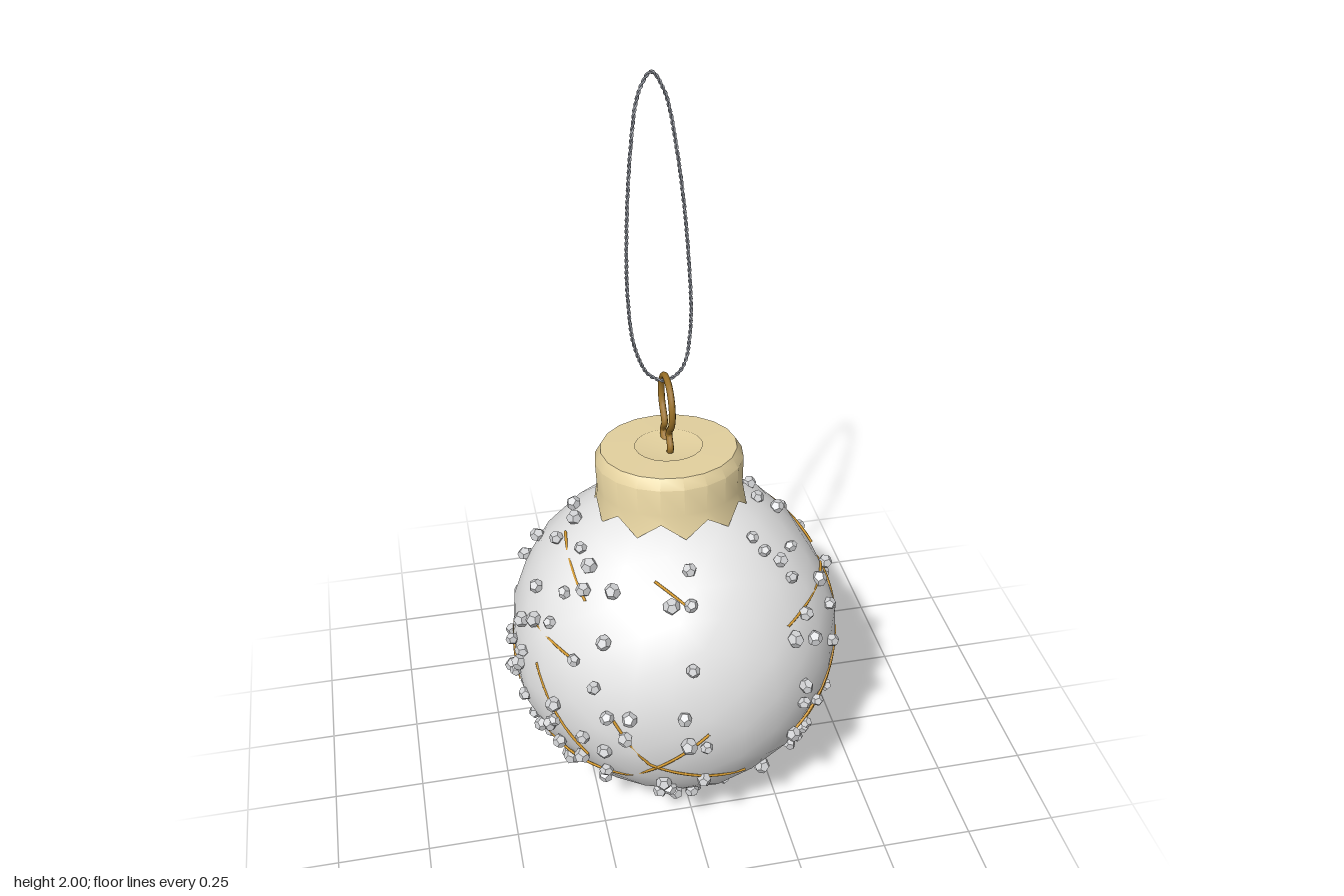
import * as THREE from 'three';
import { mergeGeometries, mergeVertices, toCreasedNormals } from 'three/addons/utils/BufferGeometryUtils.js';

const R = 0.456;
const CENTRE = new THREE.Vector3(0, 0.48, 0);

function seeded(seed) {
  return () => {
    seed = (seed * 16807) % 2147483647;
    return seed / 2147483647;
  };
}

function material(name, color, side = THREE.FrontSide) {
  const m = new THREE.MeshStandardMaterial({ color, side });
  m.name = name;
  return m;
}

// Point on the ball at offset u, v (hundredths) from a given azimuth and elevation (degrees)
function onBall(az, el, u, v) {
  const x = u / 100, y = v / 100;
  return new THREE.Vector3(x, y, Math.sqrt(Math.max(0, R * R - x * x - y * y)))
    .applyAxisAngle(new THREE.Vector3(1, 0, 0), -THREE.MathUtils.degToRad(el))
    .applyAxisAngle(new THREE.Vector3(0, 1, 0), THREE.MathUtils.degToRad(az))
    .setLength(R);
}

// Coarse, gently dented ball
function ballGeometry() {
  let g = new THREE.IcosahedronGeometry(R, 4);
  g.deleteAttribute('uv');
  g.deleteAttribute('normal');
  g = mergeVertices(g, 1e-4);
  const p = g.attributes.position, v = new THREE.Vector3();
  for (let i = 0; i < p.count; i++) {
    v.fromBufferAttribute(p, i);
    const n = Math.sin(v.x * 17 + v.y * 9) * Math.sin(v.y * 15 - v.z * 11 + 1) + Math.sin(v.z * 19 + v.x * 7 + 2) * 0.6;
    v.setLength(R + n * 0.0035);
    p.setXYZ(i, v.x, v.y, v.z);
  }
  g.computeVertexNormals();
  return g;
}

// Nuggets scattered over the ball, leaving bare patches and the cap clear
function nuggetGeometry() {
  const rand = seeded(77), placed = [], parts = [];
  const bare = [onBall(0, 0, 12, 12), onBall(0, 0, 10, 27), onBall(0, 0, 14, -4), onBall(90, 0, -5, -6),
    onBall(225, 25, -18, 6), onBall(225, 25, -4, 8), onBall(45, 25, -12, 14)];
  while (placed.length < 170) {
    const y = rand() * 1.86 - 1, a = rand() * Math.PI * 2, s = Math.sqrt(1 - y * y);
    const p = new THREE.Vector3(Math.cos(a) * s, y, Math.sin(a) * s).multiplyScalar(R + 0.007);
    if (bare.some((b) => b.distanceTo(p) < 0.14) || placed.some((q) => q.distanceTo(p) < 0.042)) continue;
    placed.push(p);
    const g = new THREE.DodecahedronGeometry(0.017 + rand() * 0.006);
    g.scale(1, 0.8 + rand() * 0.4, 1);
    g.rotateX(rand() * 6).rotateY(rand() * 6).translate(p.x, p.y, p.z);
    parts.push(g);
  }
  return mergeGeometries(parts);
}

// Seam as a thin arc half sunk in the ball between two points
function seamGeometry([az, el, u1, v1, u2, v2]) {
  const a = onBall(az, el, u1, v1), b = onBall(az, el, u2, v2), path = [];
  for (let i = 0; i <= 10; i++) path.push(a.clone().lerp(b, i / 10).setLength(R - 0.0015));
  return new THREE.TubeGeometry(new THREE.CatmullRomCurve3(path), 20, 0.004, 5);
}

// Crimped cap: lathe whose lowest ring is pulled into teeth
function capGeometry() {
  const profile = [[0.2, 0.4], [0.196, 0.47], [0.199, 0.545], [0.182, 0.573], [0.09, 0.575]]
    .map(([r, y]) => new THREE.Vector2(r, y));
  const g = new THREE.LatheGeometry(profile, 20);
  const p = g.attributes.position;
  for (let i = 0; i <= 20; i++) {
    const k = i * profile.length, tip = i % 2 === 0, s = tip ? 1.035 : 1;
    p.setXYZ(k, p.getX(k) * s, tip ? 0.403 : 0.445, p.getZ(k) * s);
  }
  return toCreasedNormals(g, 0.6);
}

// One strand wound around a closed path
function strandGeometry(path, phase) {
  const n = 480, twists = 56, frames = path.computeFrenetFrames(n, true), pts = [];
  for (let i = 0; i < n; i++) {
    const a = (i / n) * twists * Math.PI * 2 + phase;
    pts.push(path.getPointAt(i / n)
      .addScaledVector(frames.normals[i], Math.cos(a) * 0.0026)
      .addScaledVector(frames.binormals[i], Math.sin(a) * 0.0026));
  }
  return new THREE.TubeGeometry(new THREE.CatmullRomCurve3(pts, true), n, 0.0027, 5, true);
}

export function createModel() {
  const model = new THREE.Group();
  model.name = 'ornament';
  const silver = material('silver', 0xe8e8e8);
  const stone = material('grey stone', 0xd2d3d5);
  const gold = material('gold', 0xdca034);
  const brass = material('pale brass', 0xebd8a4, THREE.DoubleSide);
  const bronze = material('bronze wire', 0x9c7228);
  const cord = material('grey cord', 0x92969f);

  const add = (parent, name, geometry, mat) => {
    const mesh = new THREE.Mesh(geometry, mat);
    mesh.name = name;
    parent.add(mesh);
  };

  // Ball with nuggets and seams
  const bauble = new THREE.Group();
  bauble.name = 'bauble';
  bauble.position.copy(CENTRE);
  model.add(bauble);
  add(bauble, 'ball', ballGeometry(), silver);
  add(bauble, 'nuggets', nuggetGeometry(), stone);
  const seams = [
    [0, 0, -24, 4, -15, -11],
    [0, 0, -15, -11, 12, -22],
    [0, 0, -40, -20, -20, -19],
    [0, 0, -20, -19, 0, 1],
    [0, 0, -41, 9, -30, -14],
    [0, 0, 30, -13, 44, 2],
    [0, 0, -10, 37, -3, 33],
    [0, 0, -41, 18, -33, 17],
    [90, 0, -32, 22, -5, 20],
    [90, 0, 5, 20, 35, 16],
    [90, 0, -35, -14, -15, 2],
    [90, 0, -10, 8, 6, 13],
    [90, 0, 4, 20, 25, 32],
    [135, -25, -15, -6, 33, -8],
    [135, -25, -18, 19, 0, 6],
    [180, 0, -8, 35, 8, 36],
    [225, 25, -9, -4, 33, -22],
    [225, 25, -26, -35, 10, -37],
    [225, 25, -25, 27, -8, 19],
    [225, 25, 18, 22, 34, 25],
  ];
  add(bauble, 'seams', mergeGeometries(seams.map(seamGeometry)), gold);

  // Cap, leaning slightly back, with a shallow dish in the top
  const cap = new THREE.Group();
  cap.name = 'cap';
  cap.position.copy(CENTRE);
  cap.rotation.x = -0.11;
  model.add(cap);
  add(cap, 'capShell', capGeometry(), brass);
  const dish = [[0, 0.56], [0.1, 0.573]].map(([r, y]) => new THREE.Vector2(r, y)).reverse();
  add(cap, 'capDish', toCreasedNormals(new THREE.LatheGeometry(dish, 8), 0.4), brass);

  // Wire ring: open loop with pinched neck and spread feet
  const foot = [[0.028, 1.03], [0.05, 1.055], [0.028, 1.09]];
  const wire = foot.map(([z, y]) => new THREE.Vector3(0, y, z - 0.086));
  for (let i = 0; i <= 12; i++) {
    const a = -0.95 + (i / 12) * (Math.PI + 1.9);
    wire.push(new THREE.Vector3(0, 1.17 + Math.sin(a) * 0.072, Math.cos(a) * 0.072 - 0.086));
  }
  wire.push(...foot.reverse().map(([z, y]) => new THREE.Vector3(0, y, -z - 0.086)));
  add(model, 'wireRing', new THREE.TubeGeometry(new THREE.CatmullRomCurve3(wire), 60, 0.009, 8), bronze);

  // Twisted hanging loop, leaning back
  const loop = [[0, 1.232], [0.045, 1.262], [0.07, 1.36], [0.073, 1.55], [0.056, 1.8], [0.03, 1.95], [0, 1.995],
    [-0.033, 1.95], [-0.06, 1.82], [-0.083, 1.6], [-0.088, 1.45], [-0.078, 1.33], [-0.045, 1.253]];
  const loopPath = new THREE.CatmullRomCurve3(
    loop.map(([x, y]) => new THREE.Vector3(x, y, -0.095 - (y - 1.232) * 0.222)), true);
  const strands = [0, Math.PI].map((phase) => strandGeometry(loopPath, phase));
  add(model, 'hangingLoop', mergeGeometries(strands), cord);

  return model;
}
